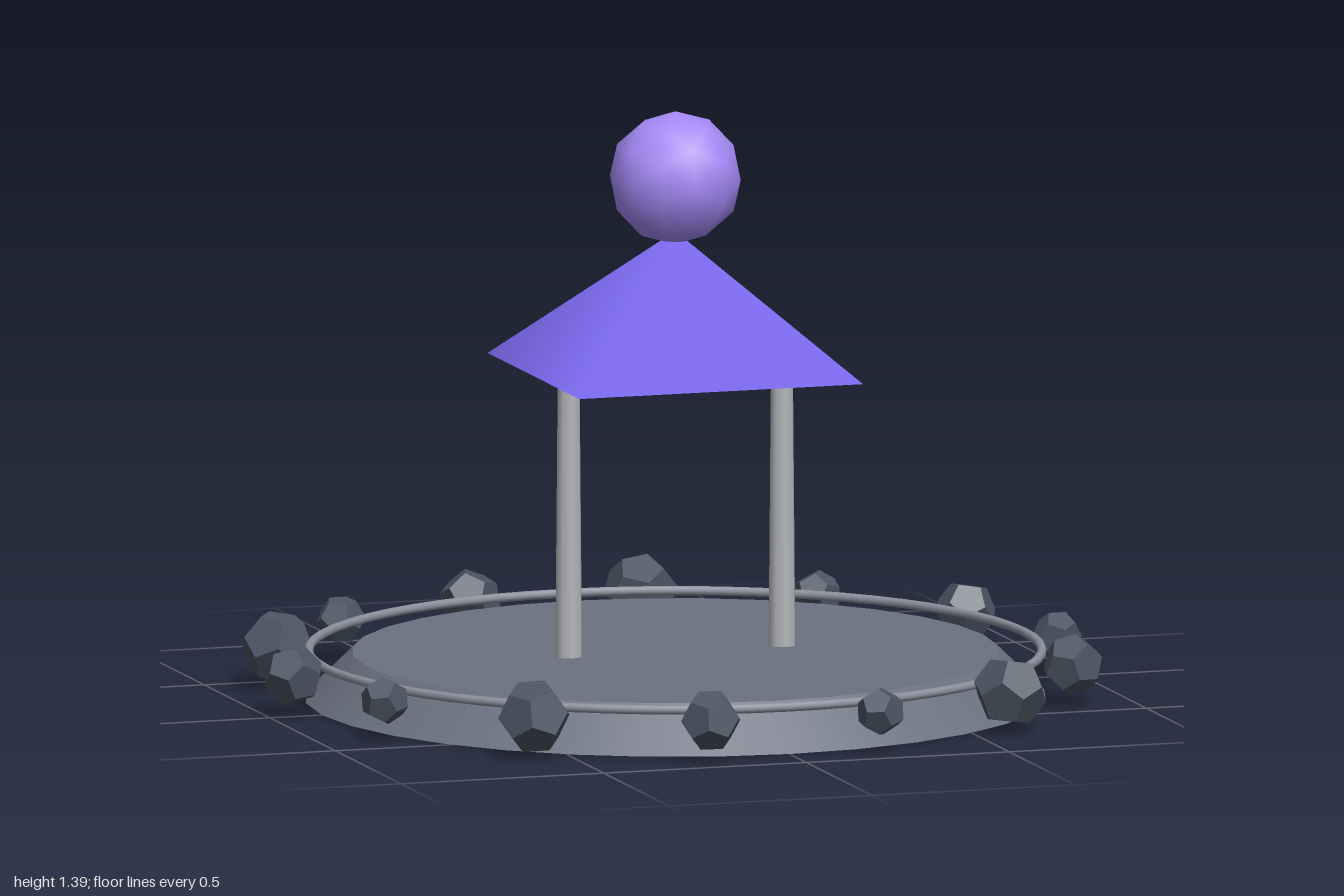
import * as THREE from 'three';

const material = (color, flatShading = false) => new THREE.MeshStandardMaterial({ color, flatShading });

function part(name, geometry, mat, x = 0, y = 0, z = 0) {
  const mesh = new THREE.Mesh(geometry, mat);
  mesh.name = name;
  mesh.position.set(x, y, z);
  return mesh;
}

export function createModel() {
  const model = new THREE.Group();
  model.name = 'floatingShrine';

  // Round tapered platform
  const baseHeight = 0.109;
  model.add(part('platform', new THREE.CylinderGeometry(0.76, 0.872, baseHeight, 32), material(0x6b7280), 0, baseHeight / 2));

  // Thin ring hovering around the platform's top
  const ring = part('ring', new THREE.TorusGeometry(0.861, 0.011, 8, 64), material(0x8b909c), 0, 0.11);
  ring.rotation.x = Math.PI / 2;
  model.add(ring);

  // Two tapered pillars
  const pillarHeight = 0.785 - baseHeight;
  const pillarGeometry = new THREE.CylinderGeometry(0.027, 0.033, pillarHeight, 8);
  const pillarMaterial = material(0xb4b6ba);
  for (const [name, side] of [['leftPillar', 1], ['rightPillar', -1]]) {
    model.add(part(name, pillarGeometry, pillarMaterial, side * 0.263, baseHeight + pillarHeight / 2));
  }

  // Four-sided roof, turned so its sides face the axes
  const roof = part('roof', new THREE.ConeGeometry(0.495, 0.327, 4), material(0x7b68ee), 0, 0.78 + 0.327 / 2);
  roof.rotation.y = Math.PI / 4;
  model.add(roof);

  // Orb balanced on the peak
  model.add(part('orb', new THREE.IcosahedronGeometry(0.158, 1), material(0xa78bfa), 0, 1.234));

  // Circle of rocks in three repeating sizes
  const rocks = new THREE.Group();
  rocks.name = 'rocks';
  const rockGeometries = [0.058, 0.073, 0.088].map((r) => new THREE.DodecahedronGeometry(r));
  const rockMaterial = material(0x4b5563, true);
  const count = 14;
  for (let i = 0; i < count; i++) {
    const angle = (i / count) * Math.PI * 2;
    const rock = part('rock', rockGeometries[i % 3], rockMaterial, Math.cos(angle) * 0.942, 0.098, Math.sin(angle) * 0.942);
    rock.rotation.set(i, i * 0.7, 0);
    rocks.add(rock);
  }
  model.add(rocks);

  return model;
}
